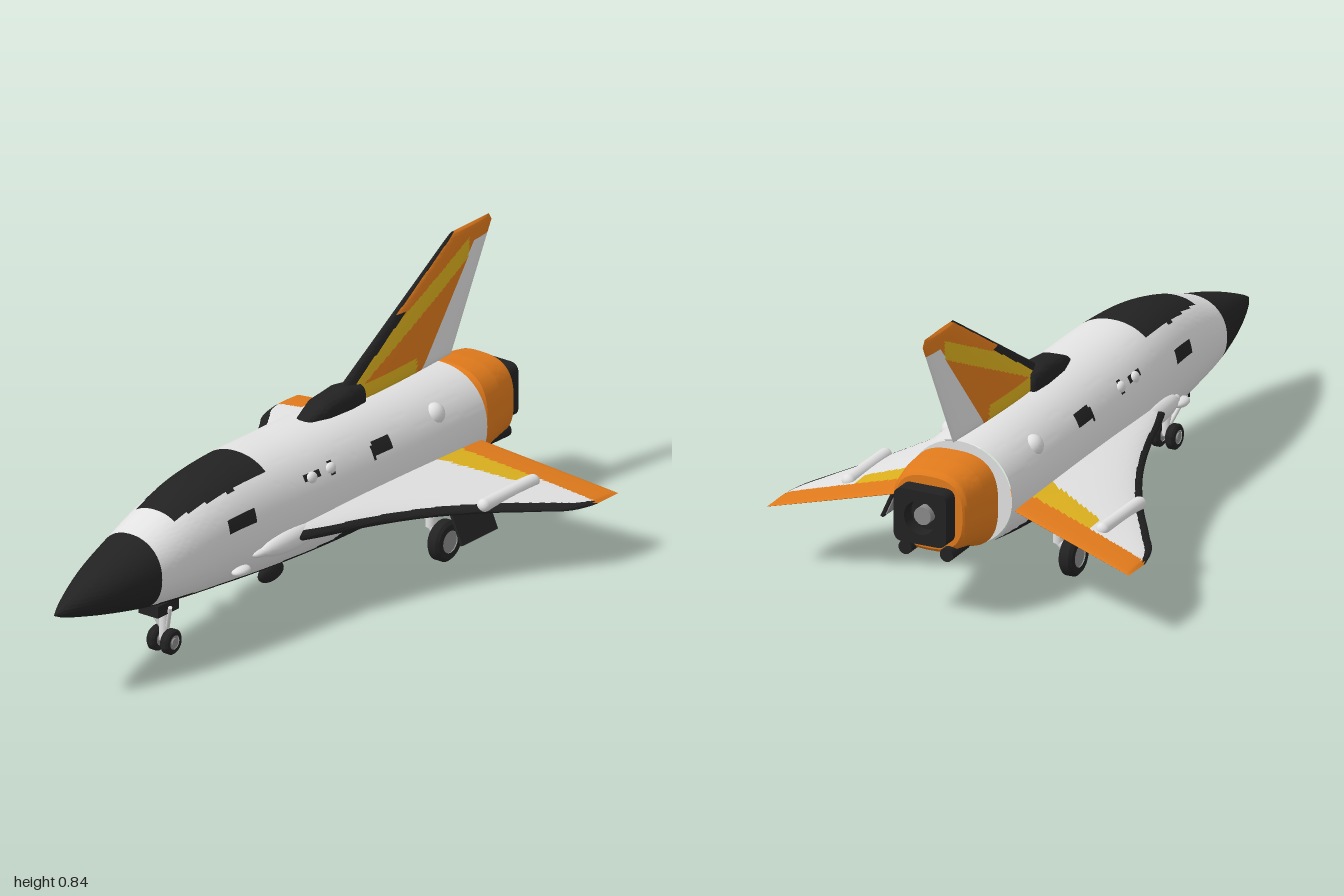
import * as THREE from 'three';
import { toCreasedNormals } from 'three/addons/utils/BufferGeometryUtils.js';
import { RoundedBoxGeometry } from 'three/addons/geometries/RoundedBoxGeometry.js';

const paint = (name, color) => Object.assign(new THREE.MeshStandardMaterial({ color }), { name });
const white = paint('white', 0xe2e2e2), black = paint('black', 0x222222), orange = paint('orange', 0xe07a1c);
const yellow = paint('yellow', 0xdcb01e), grey = paint('grey', 0x8a8a8a);
const mats = [white, black, orange, yellow, grey];
const [WHITE, BLACK, ORANGE, YELLOW] = [0, 1, 2, 3];

// Grid surface whose quads are sorted into colour groups by pick(x, y, z)
function surface(name, rows, cols, at, pick, flip = false) {
  const pos = [], lists = mats.map(() => []);
  for (let i = 0; i <= rows; i++) for (let j = 0; j <= cols; j++) pos.push(...at(i / rows, (j % cols) / cols));
  const w = cols + 1;
  for (let i = 0; i < rows; i++) for (let j = 0; j < cols; j++) {
    const a = i * w + j, b = a + w, c = b + 1, d = a + 1;
    const mid = [0, 1, 2].map(k => (pos[a * 3 + k] + pos[b * 3 + k] + pos[c * 3 + k] + pos[d * 3 + k]) / 4);
    lists[pick(...mid)].push(...(flip ? [a, d, b, b, d, c] : [a, b, d, b, c, d]));
  }
  const geo = new THREE.BufferGeometry();
  geo.setAttribute('position', new THREE.Float32BufferAttribute(pos, 3));
  geo.setIndex(lists.flat());
  let start = 0;
  lists.forEach((l, m) => { if (l.length) geo.addGroup(start, l.length, m); start += l.length; });
  const mesh = new THREE.Mesh(toCreasedNormals(geo, 0.6), mats);
  mesh.name = name;
  return mesh;
}

const table = (Kind, rows) => {
  const width = rows[0].length - 1;
  const f = new Kind(rows.map(r => r[0]), rows.flatMap(r => r.slice(1)), width, new Float32Array(width));
  return t => f.evaluate(t);
};

// Hull through stations [-z, half width, top, bottom]
function loft(name, Kind, stations, power, rows, cols, pick) {
  const f = table(Kind, stations), t0 = stations[0][0], t1 = stations.at(-1)[0];
  const bend = s => Math.sign(s) * Math.abs(s) ** power;
  return surface(name, rows, cols, (u, v) => {
    const t = t0 + (t1 - t0) * u, [hw, top, bottom] = f(t), a = v * Math.PI * 2;
    return [hw * bend(Math.sin(a)), (top + bottom) / 2 - (top - bottom) / 2 * bend(Math.cos(a)), -t];
  }, pick);
}

export function createModel() {
  const model = new THREE.Group();
  model.name = 'spaceplane';
  const add = (name, geo, mat, x, y, z, parent = model) => {
    const m = new THREE.Mesh(geo, mat);
    m.name = name;
    m.position.set(x, y, z);
    parent.add(m);
    return m;
  };
  const bar = (name, a, b, r, mat) => {
    const p = new THREE.Vector3(...a), q = new THREE.Vector3(...b), d = q.clone().sub(p);
    const m = add(name, new THREE.CylinderGeometry(r, r, d.length(), 14), mat, ...p.add(q).multiplyScalar(0.5));
    m.quaternion.setFromUnitVectors(new THREE.Vector3(0, 1, 0), d.normalize());
  };
  const blob = (name, mat, x, y, z, sx, sy, sz) =>
    add(name, new THREE.SphereGeometry(1, 20, 14), mat, x, y, z).scale.set(sx, sy, sz);

  // Fuselage with dark nose, canopy, belly and side hatches
  const bellyLine = table(THREE.LinearInterpolant,
    [[-1, 0.2], [-0.65, 0.215], [-0.2, 0.175], [0.1, 0.175], [0.17, 0.235], [0.55, 0.21], [0.76, 0.185]]);
  const hatches = [[0.325, 0.378, 0.055, 0.02], [-0.295, 0.402, 0.045, 0.019], [-0.065, 0.415, 0.01, 0.02], [0.02, 0.415, 0.035, 0.009]];
  model.add(loft('fuselage', THREE.CubicInterpolant, [
    [-1, 0, 0.28, 0.28], [-0.97, 0.016, 0.297, 0.266], [-0.9, 0.045, 0.328, 0.246], [-0.8, 0.078, 0.366, 0.222],
    [-0.65, 0.112, 0.412, 0.192], [-0.5, 0.132, 0.462, 0.17], [-0.35, 0.147, 0.494, 0.155], [-0.2, 0.16, 0.504, 0.142],
    [0, 0.171, 0.5, 0.13], [0.2, 0.173, 0.494, 0.122], [0.4, 0.172, 0.485, 0.122], [0.6, 0.169, 0.476, 0.135],
    [0.755, 0.164, 0.466, 0.155]], 0.92, 176, 104, (x, y, z) => {
    const ax = Math.abs(x);
    if (z > 0.648 || y < bellyLine(-z)[0]) return BLACK;
    if (y > 0.38 && z > 0.17 && z < 0.545 && ax < Math.min(0.1, 0.1 - (z - 0.33) * 0.15)) return BLACK;
    return hatches.some(h => Math.abs(z - h[0]) < h[2] && Math.abs(y - h[1]) < h[3]) ? BLACK : WHITE;
  }));
  const bulkhead = add('rearBulkhead', new THREE.CircleGeometry(1, 48), white, 0, 0.31, -0.754);
  bulkhead.rotation.y = Math.PI;
  bulkhead.scale.set(0.163, 0.154, 1);

  // Engine block and nozzle
  model.add(loft('engineBlock', THREE.LinearInterpolant, [
    [0.73, 0.11, 0.42, 0.2], [0.775, 0.11, 0.42, 0.2], [0.776, 0.125, 0.445, 0.175], [0.79, 0.138, 0.452, 0.168],
    [0.86, 0.132, 0.448, 0.19], [0.935, 0.117, 0.438, 0.2], [0.947, 0.105, 0.425, 0.212], [0.948, 0, 0.32, 0.32]],
  0.72, 109, 64, () => ORANGE));
  const frame = new THREE.Shape(), w = 0.083, h = 0.08, c = 0.03;
  frame.moveTo(-w + c, -h).lineTo(w - c, -h).quadraticCurveTo(w, -h, w, -h + c).lineTo(w, h - c)
    .quadraticCurveTo(w, h, w - c, h).lineTo(-w + c, h).quadraticCurveTo(-w, h, -w, h - c)
    .lineTo(-w, -h + c).quadraticCurveTo(-w, -h, -w + c, -h);
  frame.holes.push(new THREE.Path().absarc(0, 0, 0.05, 0, Math.PI * 2, true));
  add('nozzle', new THREE.ExtrudeGeometry(frame, { depth: 0.065, bevelEnabled: false, curveSegments: 20 }), black, 0, 0.32, -1);
  const back = add('nozzleBack', new THREE.CircleGeometry(0.052, 24), black, 0, 0.32, -0.955);
  back.rotation.y = Math.PI;
  bar('nozzleCore', [0, 0.32, -0.94], [0, 0.32, -0.985], 0.027, grey);

  // Tail fin with white rudder
  const finLead = y => -0.185 - (y - 0.47) * 1.64;
  model.add(surface('tailFin', 90, 128, (u, v) => {
    const y = 0.475 + 0.37 * u, a = v * Math.PI * 2, k = (1 + Math.cos(a)) / 2;
    const lead = finLead(y), trail = -0.8 - (Math.min(y, 0.825) - 0.48) * 0.53 + Math.max(0, y - 0.825) * 0.6;
    const thick = (0.031 - 0.02 * u) * Math.max(0, 1 - (2 * u - 1) ** 24) ** 0.5;
    return [thick * Math.sin(a) * (1.1 - 0.5 * k), y, lead + (trail - lead) * k];
  }, (x, y, z) => {
    if (y < 0.79 && z < -0.645 - (y - 0.48) * 0.8) return WHITE;
    if (finLead(y) - z < (y < 0.68 ? 0.05 : 0.012)) return BLACK;
    const band = y - 0.53 - (-0.32 - z) * 0.455;
    if (Math.abs(band) < 0.028 && z > -0.87) return YELLOW;
    return y < 0.53 && z > -0.62 ? YELLOW : ORANGE;
  }));
  model.add(loft('finRootFairing', THREE.LinearInterpolant, [
    [0.12, 0, 0.49, 0.49], [0.13, 0.025, 0.505, 0.475], [0.2, 0.042, 0.535, 0.46], [0.3, 0.045, 0.545, 0.46],
    [0.37, 0.038, 0.535, 0.46], [0.385, 0, 0.48, 0.47]], 0.7, 40, 32, () => BLACK));

  // Nose gear
  bar('noseStrut', [0, 0.17, 0.5], [0, 0.043, 0.5], 0.014, white);
  bar('noseAxle', [-0.04, 0.043, 0.5], [0.04, 0.043, 0.5], 0.012, grey);
  add('noseGearBay', new THREE.BoxGeometry(0.07, 0.035, 0.095), black, 0, 0.155, 0.525);

  const tyre = (name, x, y, z, r, width) => {
    const b = width / 2, p = [[r * 0.55, -b], [r * 0.85, -b], [r, -b * 0.6], [r, b * 0.6], [r * 0.85, b], [r * 0.55, b]];
    const m = add(name, toCreasedNormals(new THREE.LatheGeometry(p.map(q => new THREE.Vector2(...q)), 32), 0.6), black, x, y, z);
    m.rotation.z = Math.PI / 2;
    bar(name + 'Hub', [x - b * 0.8, y, z], [x + b * 0.8, y, z], r * 0.57, grey);
  };

  const lead = table(THREE.CubicInterpolant, [[0.1, 0.24], [0.17, 0.17], [0.2, 0.09], [0.25, -0.08], [0.31, -0.24],
    [0.4, -0.415], [0.5, -0.57], [0.55, -0.655], [0.57, -0.73]]);
  const wingMid = x => 0.274 - (x - 0.17) * 0.208;

  for (const s of [1, -1]) {
    const side = s > 0 ? 'left' : 'right';
    // Delta wing with dark leading edge and orange elevon
    model.add(surface(side + 'Wing', 80, 160, (u, v) => {
      const x = 0.1 + 0.47 * u, a = v * Math.PI * 2, k = (1 + Math.cos(a)) / 2;
      const front = lead(x)[0], rear = -0.725 - (x - 0.12) * 0.235;
      const thick = (0.036 - 0.027 * u) * Math.sqrt(Math.max(0, 1 - u ** 40));
      return [s * x, wingMid(x) + thick * Math.sin(a) * (1.1 - 0.55 * k), front + (rear - front) * k];
    }, (x, y, z) => {
      const ax = Math.abs(x), under = y < wingMid(ax);
      const hinge = -0.635 - (ax - 0.17) * 0.24;
      if (z < hinge) return ORANGE;
      if (lead(ax)[0] - z < (under ? 0.085 : 0.045)) return BLACK;
      if (z < -0.53 - (ax - 0.18) * 0.46 && ax < 0.37) return YELLOW;
      return under && ax < 0.24 ? BLACK : WHITE;
    }, s > 0));

    // Wing pod, wing root fairing and hull bumps
    const pod = add(side + 'WingPod', new THREE.CapsuleGeometry(0.02, 0.22, 8, 16), white, s * 0.4, 0.24, -0.55);
    pod.rotation.x = Math.PI / 2;
    blob(side + 'RootFairing', white, s * 0.155, 0.265, 0.12, 0.034, 0.035, 0.14);
    blob(side + 'RootBump', white, s * 0.146, 0.262, 0.23, 0.022, 0.016, 0.055);
    blob(side + 'ForwardBump', white, s * 0.136, 0.228, 0.325, 0.022, 0.014, 0.035);
    for (const z of [-0.065, 0.02]) blob(side + 'Thruster', white, s * 0.146, 0.41, z, 0.014, 0.018, 0.022);
    blob(side + 'RoundHatch', white, s * 0.128, 0.405, -0.56, 0.03, 0.034, 0.034);
    blob(side + 'BellyBump', black, s * 0.065, 0.13, 0.1, 0.018, 0.028, 0.055);
    bar(side + 'TailThruster', [s * 0.065, 0.21, -0.86], [s * 0.065, 0.208, -0.965], 0.021, black);

    // Landing gear
    tyre(side + 'NoseWheel', s * 0.024, 0.042, 0.5, 0.037, 0.028);
    bar(side + 'NoseBrace', [s * 0.045, 0.16, 0.53], [s * 0.012, 0.08, 0.5], 0.006, white);
    tyre(side + 'MainWheel', s * 0.22, 0.07, -0.49, 0.06, 0.042);
    bar(side + 'MainStrut', [s * 0.175, 0.25, -0.49], [s * 0.172, 0.1, -0.49], 0.016, white);
    bar(side + 'MainLowerStrut', [s * 0.172, 0.105, -0.49], [s * 0.21, 0.07, -0.49], 0.013, white);
    bar(side + 'MainBrace', [s * 0.12, 0.18, -0.49], [s * 0.172, 0.12, -0.49], 0.008, white);
    add(side + 'GearHousing', new RoundedBoxGeometry(0.05, 0.07, 0.16, 2, 0.01), black, s * 0.175, 0.215, -0.49);
    const door = add(side + 'GearDoor', new THREE.BoxGeometry(0.009, 0.115, 0.16), black, s * 0.32, 0.163, -0.49);
    door.rotation.z = s * 0.42;
    const liner = add(side + 'GearDoorLiner', new THREE.BoxGeometry(0.004, 0.1, 0.14), grey, s * -0.006, 0, 0, door);
    liner.castShadow = false;
  }
  return model;
}
